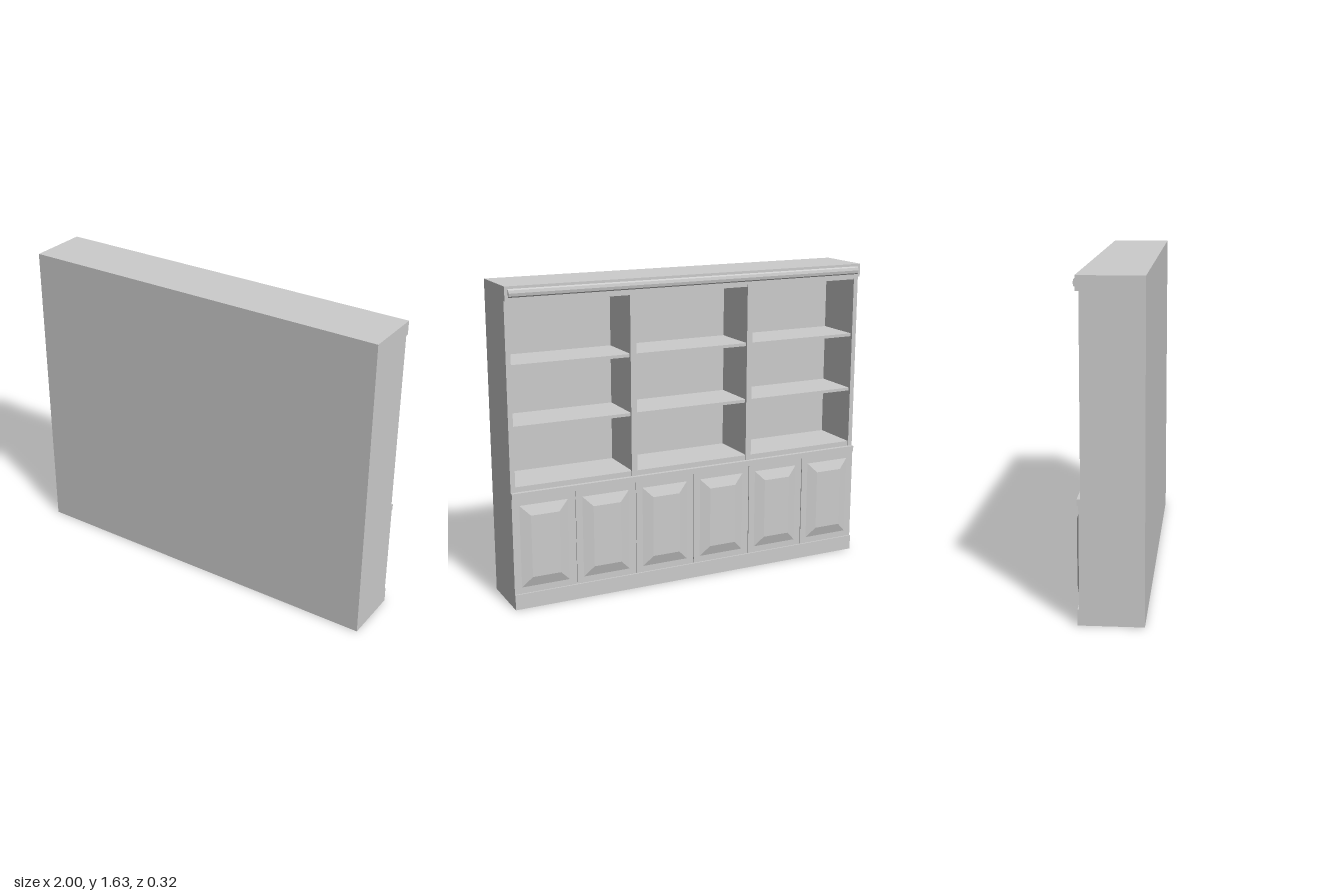
import * as THREE from 'three';

const BACK = 0.162;    // closed back plane
const BODY = -0.135;   // open face of the upper case
const TRIM = -0.152;   // face of plinth, ledge and crown

export function createModel() {
  const root = new THREE.Group();
  const mat = new THREE.MeshStandardMaterial({ color: 0xcccccc, flatShading: true });

  const add = (name, geo, x = 0, y = 0, z = 0) => {
    const m = new THREE.Mesh(geo, mat);
    m.name = name;
    m.position.set(x, y, z);
    root.add(m);
    return m;
  };
  // box given by its limits on each axis
  const block = (name, x0, x1, y0, y1, z0, z1) =>
    add(name, new THREE.BoxGeometry(x1 - x0, y1 - y0, z1 - z0),
      (x0 + x1) / 2, (y0 + y1) / 2, (z0 + z1) / 2);

  // lower cabinet and horizontal trim
  block('plinth', -1, 1, 0, 0.08, TRIM, BACK);
  block('baseCabinet', -1, 1, 0.08, 0.58, -0.138, BACK);
  block('ledge', -1, 1, 0.58, 0.61, TRIM, BACK);
  block('crown', -1, 1, 1.56, 1.63, TRIM, BACK);

  // upper case: floor, back, sides and top rail
  block('caseFloor', -0.975, 0.975, 0.61, 0.637, BODY + 0.004, 0.135);
  block('backPanel', -0.975, 0.975, 0.61, 1.56, 0.135, BACK);
  block('topRail', -0.975, 0.975, 1.545, 1.56, BODY + 0.002, 0.135);
  for (const s of [-1, 1]) {
    block('sidePanel', Math.min(s, s * 0.975), Math.max(s, s * 0.975), 0.61, 1.56, BODY, BACK);
    // divider with a slightly wider front stile
    const x = s / 3;
    block('divider', x - 0.011, x + 0.011, 0.637, 1.545, BODY + 0.012, 0.135);
    block('dividerStile', x - 0.016, x + 0.016, 0.61, 1.56, BODY, BODY + 0.012);
  }

  // two shelves in each of the three bays
  const bays = [[-0.975, -0.344], [-0.322, 0.322], [0.344, 0.975]];
  for (const [x0, x1] of bays)
    for (const top of [0.942, 1.247])
      block('shelf', x0, x1, top - 0.016, top, BODY + 0.012, 0.135);

  // half-round moulding along the crown
  const bead = new THREE.CylinderGeometry(0.021, 0.021, 1.966, 8);
  bead.rotateZ(Math.PI / 2);
  bead.scale(1, 1, 0.5);
  add('crownBead', bead, 0, 1.596, TRIM);

  // six doors with raised, bevelled panels
  for (let i = 0; i < 6; i++) {
    const x = -1 + (i + 0.5) / 3;
    const left = i === 0 ? -1 : x - 0.1637;
    const right = i === 5 ? 1 : x + 0.1637;
    block('door', left, right, 0.08, 0.58, -0.144, -0.138);
    const panel = new THREE.BoxGeometry(0.256, 0.43, 0.018);
    const p = panel.attributes.position;
    for (let k = 0; k < p.count; k++) {
      if (p.getZ(k) < 0) {
        p.setX(k, Math.sign(p.getX(k)) * 0.075);
        p.setY(k, Math.sign(p.getY(k)) * 0.162);
      }
    }
    panel.computeVertexNormals();
    add('doorPanel', panel, x, 0.328, -0.153);
  }
  return root;
}
